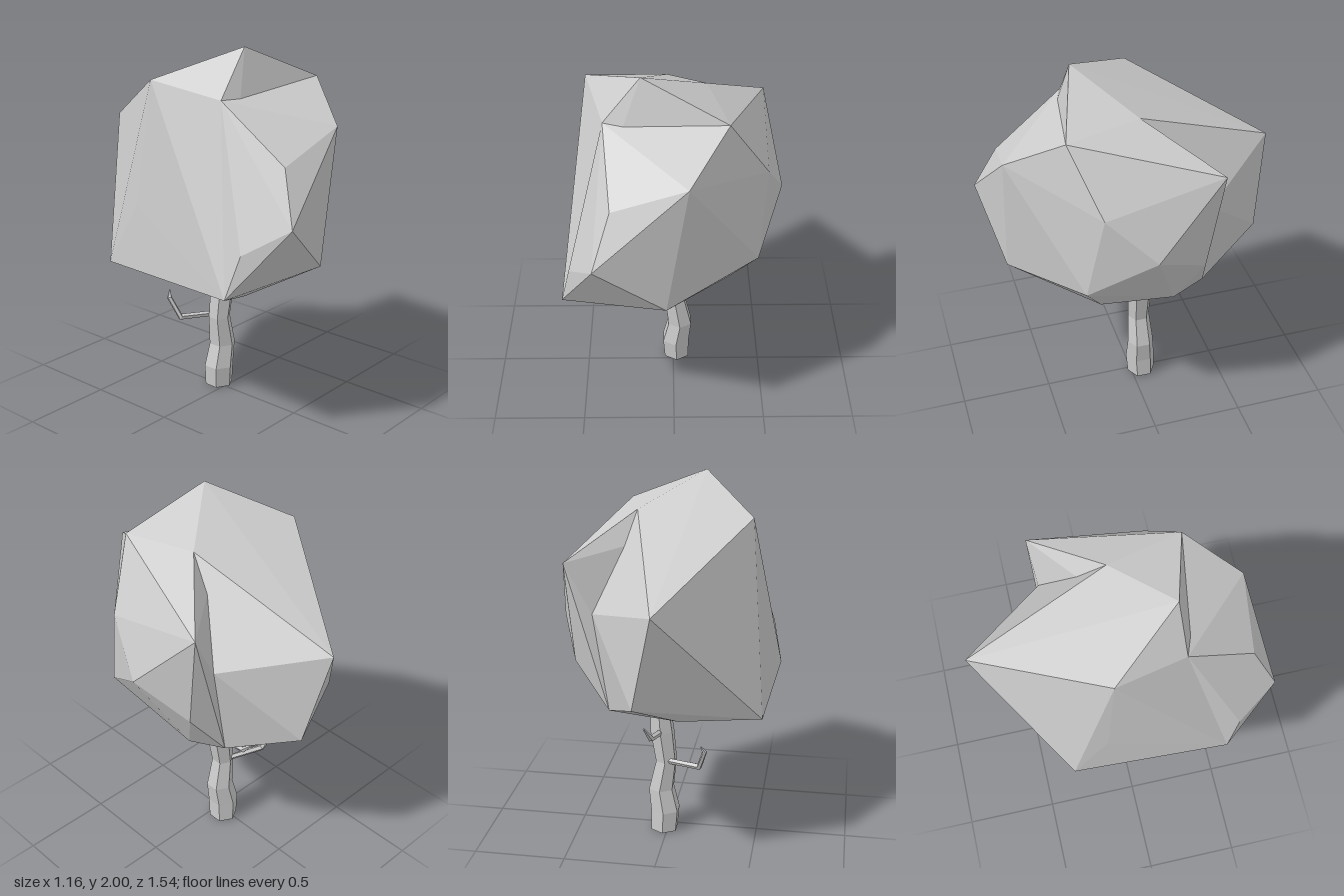
import * as THREE from 'three';
import { ConvexGeometry } from 'three/addons/geometries/ConvexGeometry.js';

const material = new THREE.MeshStandardMaterial({ color: 0xcccccc, flatShading: true });

function addMesh(parent, geometry, name) {
  const mesh = new THREE.Mesh(geometry, material);
  mesh.name = name;
  parent.add(mesh);
}

// Faceted limb through rings of [x, y, z, radius]; level rings stay horizontal
function limb(rings, sides, level) {
  const last = rings.length - 1;
  const centers = rings.map(([x, y, z]) => new THREE.Vector3(x, y, z));
  const up = new THREE.Vector3(0, 1, 0);
  const turns = centers.map((c, i) => {
    const dir = level ? up : centers[Math.min(i + 1, last)].clone().sub(centers[Math.max(i - 1, 0)]).normalize();
    return new THREE.Quaternion().setFromUnitVectors(up, dir);
  });
  const geometry = new THREE.CylinderGeometry(1, 1, 1, sides, last);
  const pos = geometry.attributes.position;
  const p = new THREE.Vector3();
  for (let i = 0; i < pos.count; i++) {
    p.fromBufferAttribute(pos, i);
    const row = Math.round((p.y + 0.5) * last);
    p.setY(0).multiplyScalar(rings[row][3]).applyQuaternion(turns[row]).add(centers[row]);
    pos.setXYZ(i, p.x, p.y, p.z);
  }
  const flat = geometry.toNonIndexed();
  flat.computeVertexNormals();
  return flat;
}

const hull = (points) => new ConvexGeometry(points.map((p) => new THREE.Vector3(...p)));

export function createModel() {
  const tree = new THREE.Group();
  tree.name = 'tree';

  // Corners shared by both masses of foliage, including the groove between them
  const seam = [
    [0.27, 1.81, 0.40], [-0.35, 1.76, 0.28], [-0.58, 0.84, 0.50],
    [0.17, 1.83, 0.00], [0.35, 1.35, -0.33], [0.27, 0.82, -0.33],
    [0.07, 0.75, 0.03], [-0.36, 0.78, 0.44],
  ];

  // Front mass
  const front = [
    [0.49, 1.62, -0.35], [0.58, 1.23, 0.02], [0.48, 1.47, 0.27], [0.44, 1.00, 0.36],
    [0.07, 1.62, 0.68], [-0.40, 1.21, 0.77], [-0.31, 1.48, 0.65], [-0.53, 1.07, 0.56],
    [-0.04, 0.91, 0.68], [0.35, 0.80, -0.14], [0.30, 0.80, 0.25], [0.46, 1.07, -0.27],
  ];

  // Back mass with the peak
  const back = [
    [-0.16, 2.00, 0.27], [-0.45, 1.83, -0.10], [-0.52, 1.18, -0.15], [-0.54, 0.83, -0.34],
    [-0.03, 1.49, -0.77], [0.08, 0.98, -0.69], [-0.13, 0.87, -0.53],
  ];

  const crown = new THREE.Group();
  crown.name = 'crown';
  addMesh(crown, hull([...seam, ...front]), 'frontFoliage');
  addMesh(crown, hull([...seam, ...back]), 'backFoliage');
  tree.add(crown);

  // Crooked trunk
  addMesh(tree, limb([
    [0.02, 0, -0.06, 0.08], [0.015, 0.12, -0.055, 0.085], [0.038, 0.25, -0.05, 0.075],
    [0.01, 0.42, -0.047, 0.062], [0.034, 0.6, -0.045, 0.07], [0.05, 0.82, -0.055, 0.052],
  ], 6, true), 'trunk');

  // Two bent twigs
  addMesh(tree, limb([
    [0, 0.43, -0.08, 0.016], [-0.19, 0.445, -0.16, 0.018], [-0.225, 0.56, -0.21, 0.014], [-0.205, 0.595, -0.225, 0.004],
  ], 5, false), 'sideTwig');
  addMesh(tree, limb([
    [0.04, 0.6, -0.08, 0.018], [0.06, 0.64, -0.26, 0.017], [0.085, 0.73, -0.34, 0.005],
  ], 5, false), 'backTwig');

  return tree;
}
